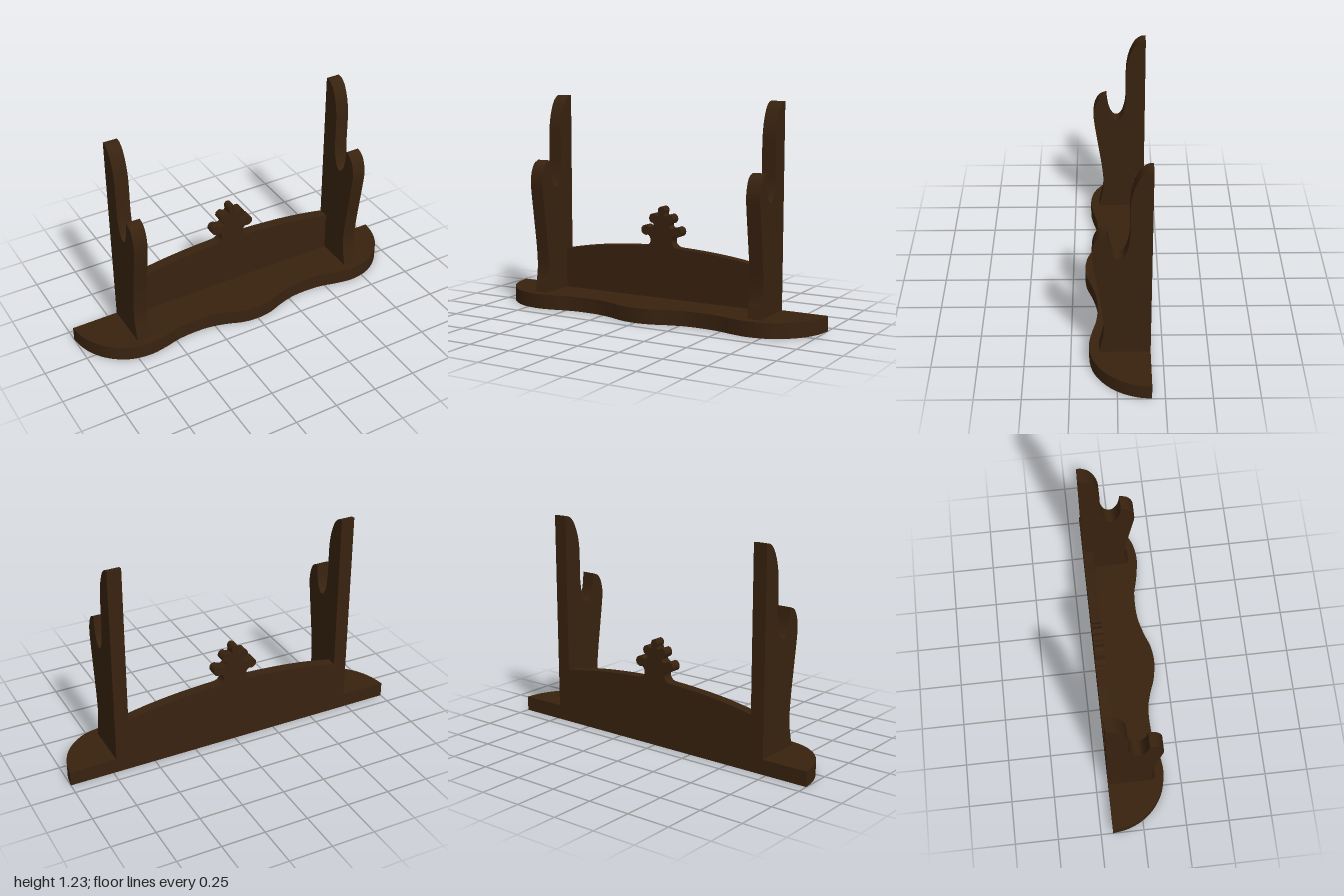
import * as THREE from 'three';
import { toCreasedNormals } from 'three/addons/utils/BufferGeometryUtils.js';

const darkWood = new THREE.MeshStandardMaterial({ color: 0x38220f });
darkWood.name = 'dark wood';

const vectors = (pts) => pts.map(([x, y]) => new THREE.Vector2(x, y));

// Mirrors a right-hand outline that ends on the centre line
const mirrored = (pts) => [...pts, ...pts.slice(0, -1).reverse().map(([x, y]) => [-x, y])];

// Cuts a board of the given thickness from a shape
function board(shape, depth) {
  const geo = new THREE.ExtrudeGeometry(shape, { depth, bevelEnabled: false, curveSegments: 5 });
  return toCreasedNormals(geo, 0.6);
}

function addMesh(parent, geometry, name) {
  const mesh = new THREE.Mesh(geometry, darkWood);
  mesh.name = name;
  parent.add(mesh);
}

export function createModel() {
  const model = new THREE.Group();
  model.name = 'displayStand';
  const baseTop = 0.085;

  // Base board with a scalloped front edge
  const edge = mirrored([
    [1, -0.18], [0.985, -0.09], [0.945, 0], [0.88, 0.075], [0.79, 0.13], [0.68, 0.15],
    [0.58, 0.137], [0.48, 0.113], [0.38, 0.105], [0.28, 0.11], [0.18, 0.135], [0.09, 0.167], [0, 0.178],
  ]);
  const baseShape = new THREE.Shape();
  baseShape.moveTo(1, -0.18);
  baseShape.splineThru(vectors(edge.slice(1)));
  const base = board(baseShape, baseTop);
  base.rotateX(Math.PI / 2).translate(0, baseTop, 0);
  addMesh(model, base, 'base');

  // Back board: gently arched top with a lobed crest in the middle
  const crest = mirrored([
    [0.65, 0.318], [0.5, 0.345], [0.35, 0.364], [0.2, 0.376], [0.11, 0.381], [0.085, 0.389],
    [0.071, 0.408], [0.072, 0.43], [0.084, 0.446], [0.104, 0.445], [0.124, 0.455], [0.131, 0.474],
    [0.124, 0.494], [0.104, 0.503], [0.084, 0.495], [0.066, 0.492], [0.052, 0.502], [0.053, 0.517],
    [0.069, 0.523], [0.079, 0.543], [0.072, 0.564], [0.053, 0.573], [0.036, 0.564], [0.024, 0.562],
    [0.018, 0.575], [0.022, 0.593], [0.014, 0.61], [0, 0.615],
  ]);
  const backShape = new THREE.Shape();
  backShape.moveTo(-0.65, baseTop);
  backShape.lineTo(0.65, baseTop);
  backShape.lineTo(0.65, 0.318);
  backShape.splineThru(vectors(crest.slice(1)));
  const back = board(backShape, 0.06);
  back.translate(0, 0, -0.18);
  addMesh(model, back, 'backBoard');

  // Upright side profile: tall back, curved cradle and forward hook
  const post = new THREE.Shape();
  post.moveTo(-0.18, baseTop);
  post.lineTo(0.097, baseTop);
  post.splineThru(vectors([
    [0.085, 0.14], [0.073, 0.2], [0.07, 0.27], [0.08, 0.38], [0.1, 0.52], [0.124, 0.69],
    [0.127, 0.75], [0.115, 0.805], [0.09, 0.845], [0.05, 0.863],
  ]));
  post.splineThru(vectors([
    [0.045, 0.81], [0.035, 0.76], [0.015, 0.718], [-0.012, 0.704], [-0.04, 0.728],
    [-0.058, 0.785], [-0.066, 0.85],
  ]));
  post.lineTo(-0.066, 1);
  post.splineThru(vectors([
    [-0.07, 1.06], [-0.085, 1.13], [-0.113, 1.193], [-0.148, 1.226], [-0.18, 1.232],
  ]));
  const upright = board(post, 0.08);
  upright.rotateY(-Math.PI / 2).translate(0.04, 0, 0);

  for (const [name, x] of [['leftUpright', 0.69], ['rightUpright', -0.69]]) {
    addMesh(model, upright.clone().translate(x, 0, 0), name);
  }
  return model;
}
